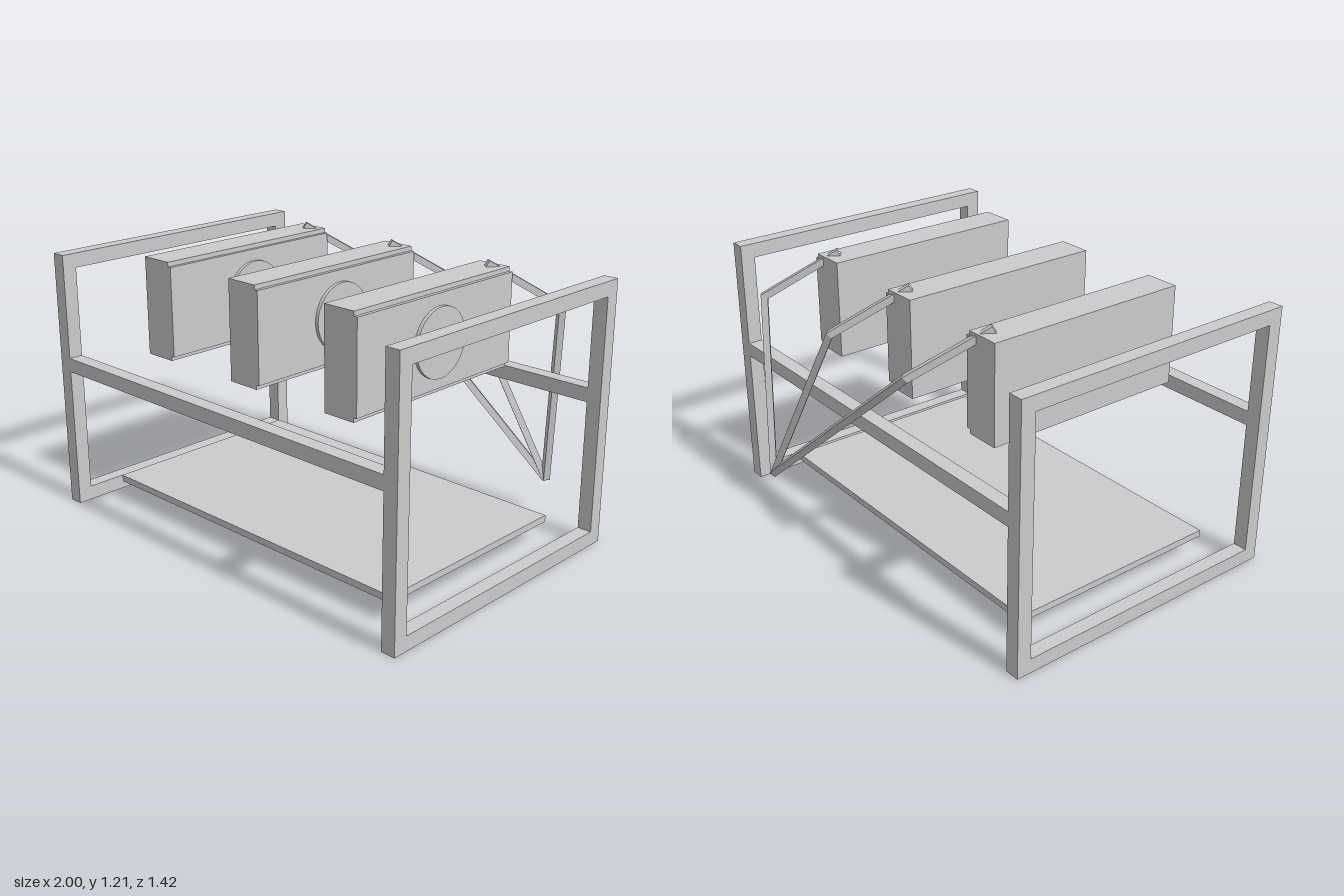
import * as THREE from 'three';

const material = new THREE.MeshStandardMaterial({ color: 0xcccccc });

function add(parent, name, geometry) {
  const mesh = new THREE.Mesh(geometry, material);
  mesh.name = name;
  parent.add(mesh);
  return mesh;
}

// Box given by its minimum and maximum corners
function box(parent, name, [x0, y0, z0], [x1, y1, z1]) {
  const mesh = add(parent, name, new THREE.BoxGeometry(x1 - x0, y1 - y0, z1 - z0));
  mesh.position.set((x0 + x1) / 2, (y0 + y1) / 2, (z0 + z1) / 2);
  return mesh;
}

function rectangle(path, a0, b0, a1, b1) {
  path.moveTo(a0, b0);
  path.lineTo(a1, b0);
  path.lineTo(a1, b1);
  path.lineTo(a0, b1);
  path.closePath();
  return path;
}

// Square bar swept along a polyline, mitred at the bends
function squareBar(points, half) {
  const dirs = points.slice(1).map((p, i) => p.clone().sub(points[i]).normalize());
  const side = dirs[0].clone().cross(new THREE.Vector3(0, 1, 0)).normalize();
  const up = side.clone().cross(dirs[0]);
  let ring = [[1, 1], [-1, 1], [-1, -1], [1, -1]].map(([a, b]) =>
    points[0].clone().addScaledVector(side, a * half).addScaledVector(up, b * half));
  const pos = [];
  const quad = (a, b, c, d) => [a, b, c, a, c, d].forEach((v) => pos.push(v.x, v.y, v.z));
  quad(...ring);
  dirs.forEach((dir, k) => {
    const normal = dir.clone().add(dirs[k + 1] ?? dir).normalize();
    const next = ring.map((v) => {
      const t = points[k + 1].clone().sub(v).dot(normal) / dir.dot(normal);
      return v.clone().addScaledVector(dir, t);
    });
    for (let i = 0; i < 4; i++) {
      const j = (i + 1) % 4;
      quad(ring[i], next[i], next[j], ring[j]);
    }
    ring = next;
  });
  quad(ring[3], ring[2], ring[1], ring[0]);
  const geometry = new THREE.BufferGeometry();
  geometry.setAttribute('position', new THREE.Float32BufferAttribute(pos, 3));
  geometry.computeVertexNormals();
  return geometry;
}

export function createModel() {
  const model = new THREE.Group();
  const bar = 0.065;
  const front = 0.71, back = -0.62, height = 1.17;

  // Rectangular side frames, extruded along x
  const outline = rectangle(new THREE.Shape(), -front, 0, -back, height);
  outline.holes.push(rectangle(new THREE.Path(), -front + bar, bar, -back - bar, height - bar));
  for (const [name, x] of [['rightSideFrame', -1], ['leftSideFrame', 1 - bar]]) {
    const frame = add(model, name, new THREE.ExtrudeGeometry(outline, { depth: bar, bevelEnabled: false }));
    frame.rotation.y = Math.PI / 2;
    frame.position.x = x;
  }

  // Cross rails joining the side frames
  box(model, 'frontRail', [-1 + bar, 0.64, front - bar], [1 - bar, 0.703, front]);
  box(model, 'backRail', [-1 + bar, 0.64, back], [1 - bar, 0.703, back + bar]);

  // Low base board
  box(model, 'baseBoard', [-0.83, 0.09, -0.46], [0.83, 0.12, 0.54]);

  // Three hanging units, each with a cover plate, a round disc and a bent bar
  const barEnd = new THREE.Vector3(0.665, 0.17, -0.69);
  for (let i = 0; i < 3; i++) {
    const x = -0.612 + i * 0.533;
    const unit = new THREE.Group();
    unit.name = `unit${i + 1}`;
    model.add(unit);
    box(unit, 'unitBody', [x, 0.753, -0.423], [x + 0.152, 1.186, 0.513]);
    box(unit, 'coverPlate', [x + 0.152, 0.773, -0.423], [x + 0.168, 1.166, 0.513]);
    const disc = add(unit, 'disc', new THREE.CylinderGeometry(0.148, 0.148, 0.016, 32));
    disc.rotation.z = -Math.PI / 2;
    disc.position.set(x + 0.176, 0.968, 0.045);
    add(unit, 'bentBar', squareBar([
      new THREE.Vector3(x + 0.083, 1.2, -0.36),
      new THREE.Vector3(x + 0.281, 1.0, -0.628),
      barEnd,
    ], 0.015));
  }
  return model;
}
